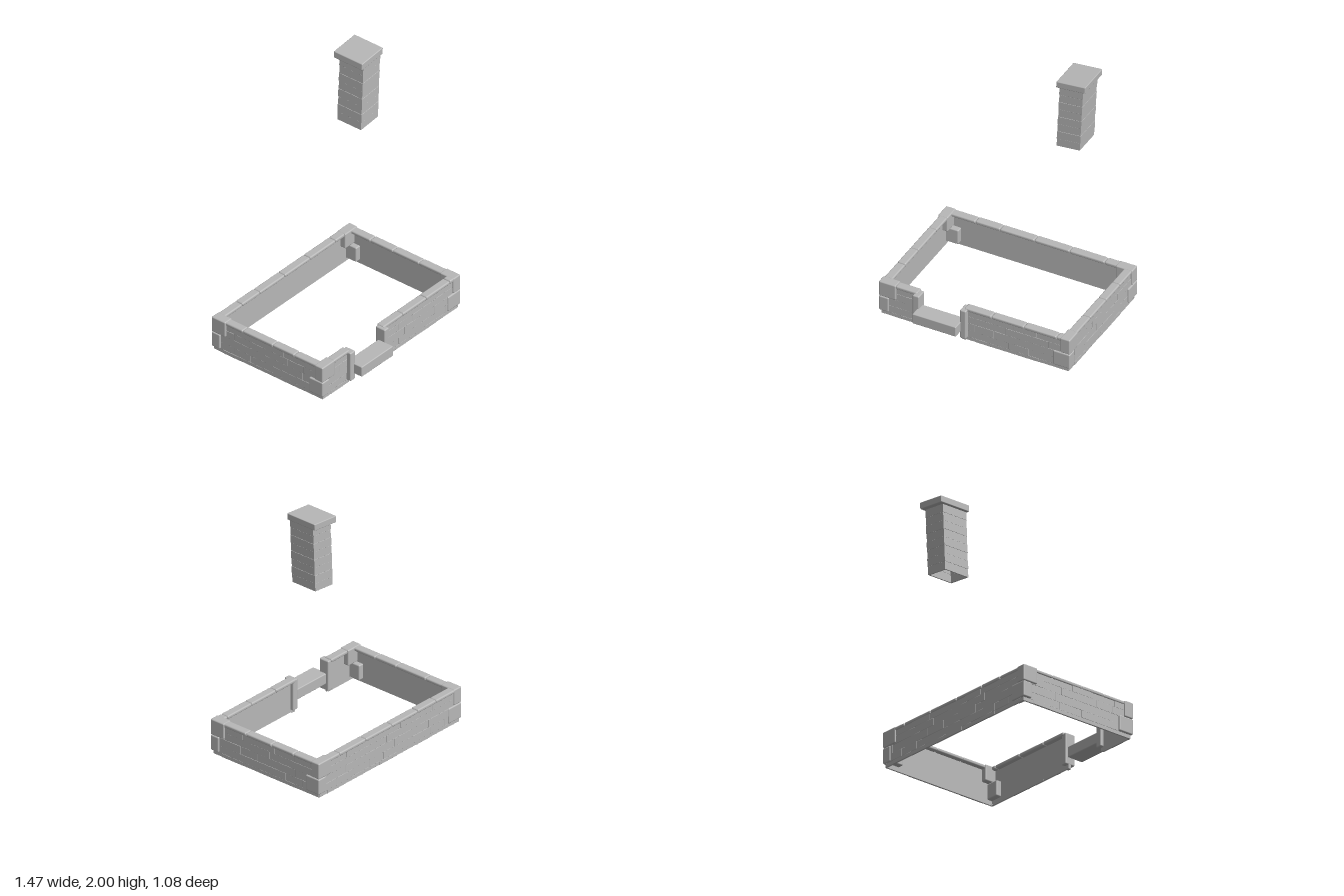
import * as THREE from 'three';
import { RoundedBoxGeometry } from 'three/addons/geometries/RoundedBoxGeometry.js';

const stone = new THREE.MeshStandardMaterial({ color: 0xb8b8b8 });
stone.name = 'grey stone';

// Softened block given by its minimum and maximum corners
function block(parent, name, x0, x1, y0, y1, z0, z1, radius = 0.006, segments = 2) {
  const geo = new RoundedBoxGeometry(x1 - x0, y1 - y0, z1 - z0, segments, radius);
  const mesh = new THREE.Mesh(geo, stone);
  mesh.position.set((x0 + x1) / 2, (y0 + y1) / 2, (z0 + z1) / 2);
  mesh.name = name;
  parent.add(mesh);
}

function seeded(seed) {
  return () => (seed = (seed * 16807) % 2147483647) / 2147483647;
}

// Wall along local x from a to b, its outside facing local +z
function wall(name, a, b, joints, seed) {
  const group = new THREE.Group();
  group.name = name;
  const rnd = seeded(seed);

  // Smooth inner face, set back under the coping
  const inner = new THREE.Mesh(new THREE.PlaneGeometry(b - a, 0.245), stone);
  inner.name = 'innerWallFace';
  inner.rotation.y = Math.PI;
  inner.position.set((a + b) / 2, 0.1325, 0.002);
  group.add(inner);

  // Staggered brick courses on the outside
  const levels = [0.008, 0.035, 0.09, 0.15, 0.205, 0.252];
  for (let row = 0; row < levels.length - 1; row++) {
    let x = a;
    let length = 0.08 + (row % 2) * 0.09;
    while (x < b - 0.001) {
      let end = x + length;
      if (b - end < 0.06) end = b;
      block(group, 'brick', x, end, levels[row], levels[row + 1],
        0.012, 0.023 + rnd() * 0.004, 0.001, 1);
      x = end;
      length = 0.14 + rnd() * 0.06;
    }
  }

  // Slightly overhanging rounded coping stones
  const stops = [a, ...joints, b];
  for (let i = 0; i < stops.length - 1; i++) {
    block(group, 'copingStone', stops[i] + 0.001, stops[i + 1] - 0.001,
      0.247, 0.272 + rnd() * 0.003, -0.031, 0.031, 0.01);
  }
  return group;
}

// Two-stone quoin: one long along x, the other long along z
function corner(parent, name, sx, sz, zOuter, upperAlongX) {
  const group = new THREE.Group();
  group.name = name;
  [[0.155, 0.276, upperAlongX], [0.036, 0.153, !upperAlongX]].forEach(([y0, y1, alongX], i) => {
    const inX = sx * (0.736 - (alongX ? 0.13 : 0.074));
    const inZ = zOuter - sz * (alongX ? 0.073 : 0.122);
    const outX = sx * 0.737;
    block(group, i ? 'lowerCornerStone' : 'upperCornerStone',
      Math.min(inX, outX), Math.max(inX, outX), y0, y1,
      Math.min(inZ, zOuter), Math.max(inZ, zOuter), 0.009);
  });
  parent.add(group);
}

// Leaning hollow chimney shaft with a tilted slab on top
function chimney() {
  const group = new THREE.Group();
  group.name = 'chimney';
  const rows = 8, height = 0.5, step = height / rows;

  const rect = (path, w, d) => {
    path.moveTo(-w, -d);
    path.lineTo(w, -d);
    path.lineTo(w, d);
    path.lineTo(-w, d);
    path.closePath();
    return path;
  };
  for (let i = 0; i < rows; i++) {
    const grow = (i % 2) * 0.0015;
    const shape = rect(new THREE.Shape(), 0.0885 + grow, 0.103 + grow);
    shape.holes.push(rect(new THREE.Path(), 0.081, 0.095));
    const geo = new THREE.ExtrudeGeometry(shape, {
      depth: step - 0.002, bevelEnabled: true, bevelThickness: 0.001,
      bevelSize: 0.001, bevelSegments: 1,
    });
    geo.rotateX(-Math.PI / 2);
    geo.translate(0, i * step + 0.001, 0);
    const mesh = new THREE.Mesh(geo, stone);
    mesh.name = 'chimneyCourse';
    group.add(mesh);
  }
  block(group, 'chimneyCap', -0.115, 0.109, height - 0.002, height + 0.049, -0.139, 0.113, 0.006);

  // Shear the courses: upright sides lean right, level edges rise to the right
  const lean = new THREE.Matrix4().set(
    1, 0.05, 0, 0,
    0.1, 1, 0, 0,
    0, 0, 1, 0,
    0, 0, 0, 1);
  group.children.forEach((mesh) => {
    mesh.geometry.translate(mesh.position.x, mesh.position.y, mesh.position.z);
    mesh.position.set(0, 0, 0);
    mesh.geometry.applyMatrix4(lean);
  });
  group.position.set(0.431, 1.441, -0.213);
  return group;
}

export function createModel() {
  const model = new THREE.Group();
  model.name = 'stoneFoundationAndChimney';

  // Four sides, with a doorway gap in the front
  const sides = [
    ['frontWallRight', -0.72, -0.44, [-0.61], 0, 0, 0.41],
    ['frontWallLeft', -0.08, 0.72, [0.13, 0.38, 0.63], 0, 0, 0.41],
    ['backWall', -0.72, 0.72, [-0.515, -0.245, 0.025, 0.29, 0.48], Math.PI, 0, -0.506],
    ['leftWall', -0.43, 0.52, [-0.13, 0.1, 0.3], Math.PI / 2, 0.7, 0],
    ['rightWall', -0.52, 0.43, [-0.27, -0.005, 0.185], -Math.PI / 2, -0.698, 0],
  ];
  sides.forEach(([name, a, b, joints, turn, x, z], i) => {
    const side = wall(name, a, b, joints, 1234 + i * 777);
    side.rotation.y = turn;
    side.position.set(x, 0, z);
    model.add(side);
  });

  corner(model, 'frontRightCorner', -1, 1, 0.445, true);
  corner(model, 'frontLeftCorner', 1, 1, 0.445, false);
  corner(model, 'backRightCorner', -1, -1, -0.539, false);
  corner(model, 'backLeftCorner', 1, -1, -0.539, true);

  // Doorway posts and the raised step between them
  block(model, 'rightDoorPost', -0.465, -0.414, 0.034, 0.265, 0.386, 0.468, 0.009);
  block(model, 'leftDoorPost', -0.1, -0.053, 0.03, 0.265, 0.386, 0.468, 0.009);
  block(model, 'doorStep', -0.429, -0.093, 0.083, 0.164, 0.407, 0.537, 0.007);
  // Footing stone under the left post
  block(model, 'footingStone', -0.1, -0.07, 0, 0.036, 0.412, 0.434, 0.002, 1);

  model.add(chimney());
  return model;
}
